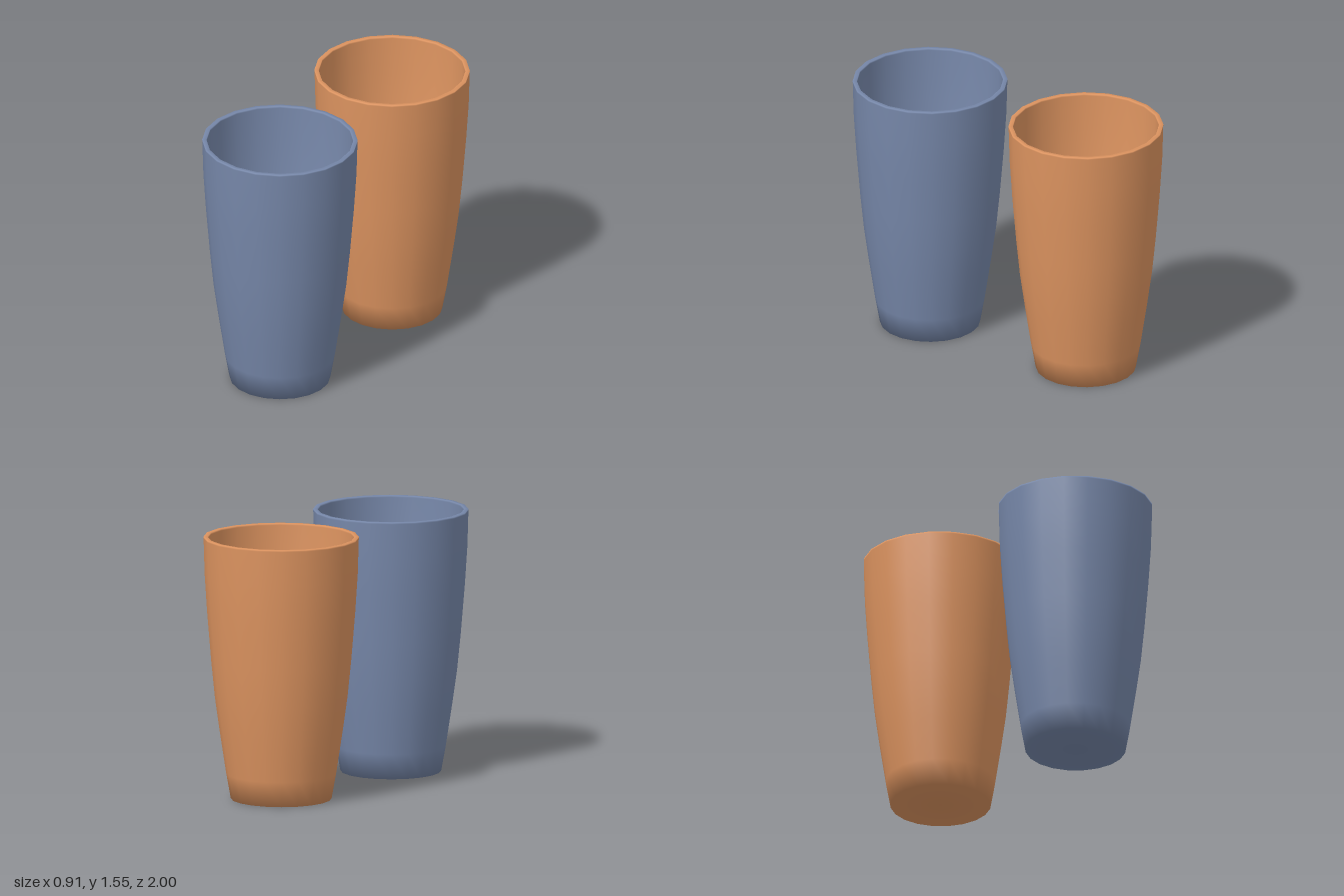
import * as THREE from 'three';

// Closed profile [radius, height]: underside, outer wall, rim, inner wall, floor
const profile = [
  [0, 0], [0.295, 0], [0.322, 0.15], [0.36, 0.4], [0.388, 0.6], [0.41, 0.82],
  [0.433, 1.1], [0.448, 1.33], [0.454, 1.54], [0.455, 1.55],
  [0.43, 1.55], [0.429, 1.54], [0.425, 1.33], [0.411, 1.1], [0.388, 0.82],
  [0.366, 0.6], [0.338, 0.4], [0.302, 0.15], [0.28, 0.04], [0, 0.04],
].map(([r, y]) => new THREE.Vector2(r, y));

// Tapered 20-sided tumbler with smooth walls
function makeCup(name, color, z) {
  const cup = new THREE.Mesh(
    new THREE.LatheGeometry(profile, 20),
    new THREE.MeshStandardMaterial({ color })
  );
  cup.name = name;
  cup.scale.z = 0.99;
  cup.position.z = z;
  return cup;
}

export function createModel() {
  const group = new THREE.Group();
  group.name = 'cups';
  group.add(makeCup('frontCup', 0x7788aa, 0.55));
  group.add(makeCup('backCup', 0xdd9460, -0.55));
  return group;
}
